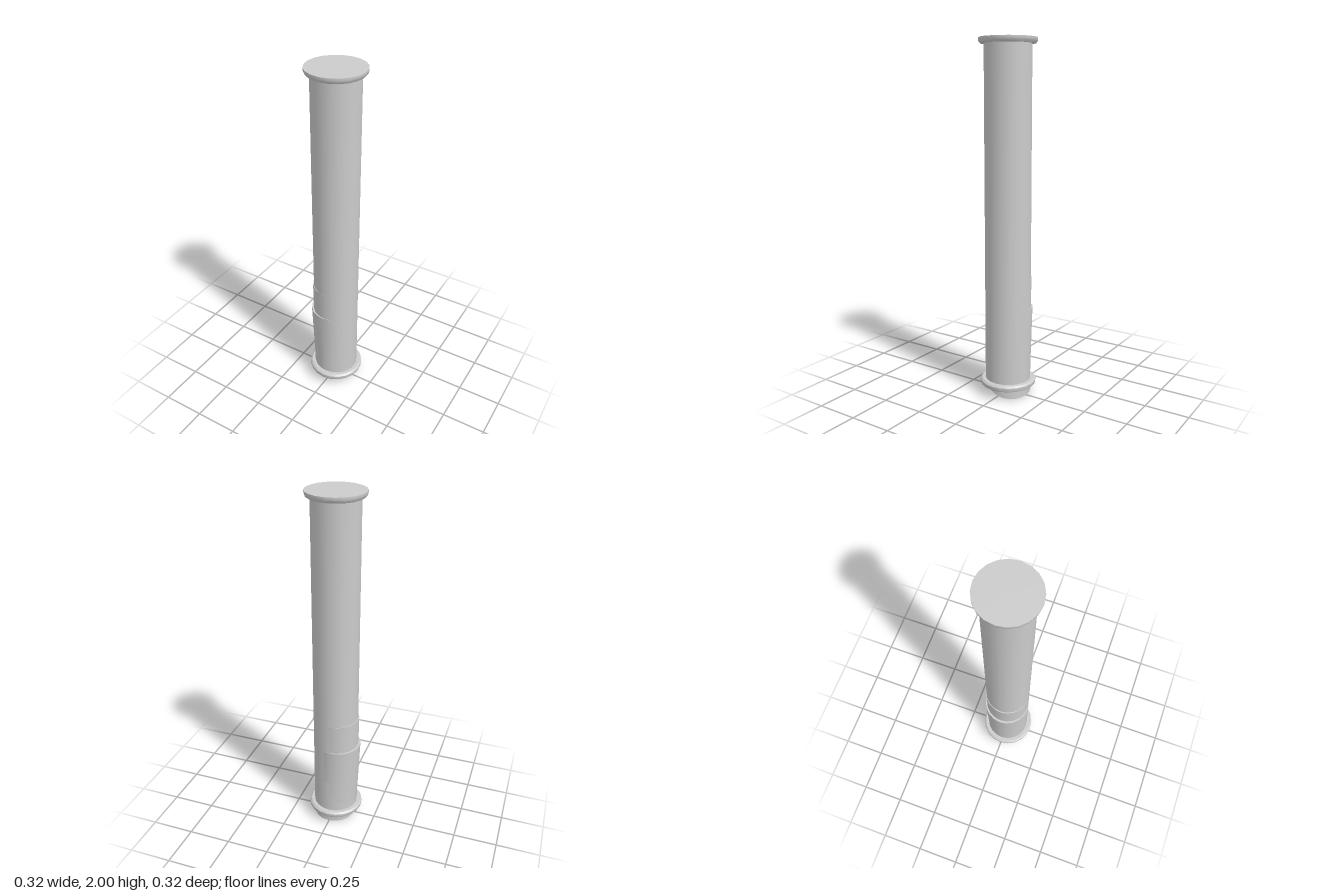
import * as THREE from 'three';
import { toCreasedNormals } from 'three/addons/utils/BufferGeometryUtils.js';

const SIDES = 20;
const material = new THREE.MeshStandardMaterial({ color: 0xcccccc });

function addPart(group, name, geometry) {
  const mesh = new THREE.Mesh(toCreasedNormals(geometry, 0.6), material);
  mesh.name = name;
  group.add(mesh);
}

// Solid disc with a shaped rim, from [radius, height] points listed bottom to top
function disc(profile) {
  return new THREE.LatheGeometry(profile.map(([r, y]) => new THREE.Vector2(r, y)), SIDES);
}

// Tapered round body whose upper end is shifted sideways by topX
function leaningBody(topRadius, bottomRadius, bottom, top, topX) {
  const geometry = new THREE.CylinderGeometry(topRadius, bottomRadius, top - bottom, SIDES);
  geometry.translate(0, (top + bottom) / 2, 0);
  const p = geometry.attributes.position;
  for (let i = 0; i < p.count; i++) {
    p.setX(i, p.getX(i) + topX * (p.getY(i) - bottom) / (top - bottom));
  }
  return geometry;
}

export function createModel() {
  const group = new THREE.Group();
  group.name = 'column';

  // Long shaft with a slanted foot, deepest at the back
  const shaft = new THREE.CylinderGeometry(0.13, 0.13, 1.95, SIDES);
  shaft.translate(0, 1.015, 0);
  const p = shaft.attributes.position;
  for (let i = 0; i < p.count; i++) {
    if (p.getY(i) > 1) continue;
    const x = p.getX(i), z = p.getZ(i);
    p.setY(i, Math.max(0, 0.028 + 0.42 * z + 1.75 * z * z - 0.05 * x));
  }
  addPart(group, 'shaft', shaft);

  // Flat cap on top, narrowing slightly underneath
  addPart(group, 'topCap', disc([[0, 1.97], [0.15, 1.97], [0.157, 1.978], [0.16, 1.99], [0.16, 2], [0, 2]]));

  // Flange around the foot
  addPart(group, 'footFlange', disc([[0, 0.055], [0.157, 0.055], [0.16, 0.062], [0.16, 0.078], [0.15, 0.087], [0, 0.087]]));

  // Slightly leaning sleeves that emerge from the shaft on its right side
  addPart(group, 'lowerSleeve', leaningBody(0.134, 0.128, 0.07, 0.512, -0.013));
  addPart(group, 'upperSleeve', leaningBody(0.13, 0.129, 0.07, 0.69, -0.006));

  return group;
}
